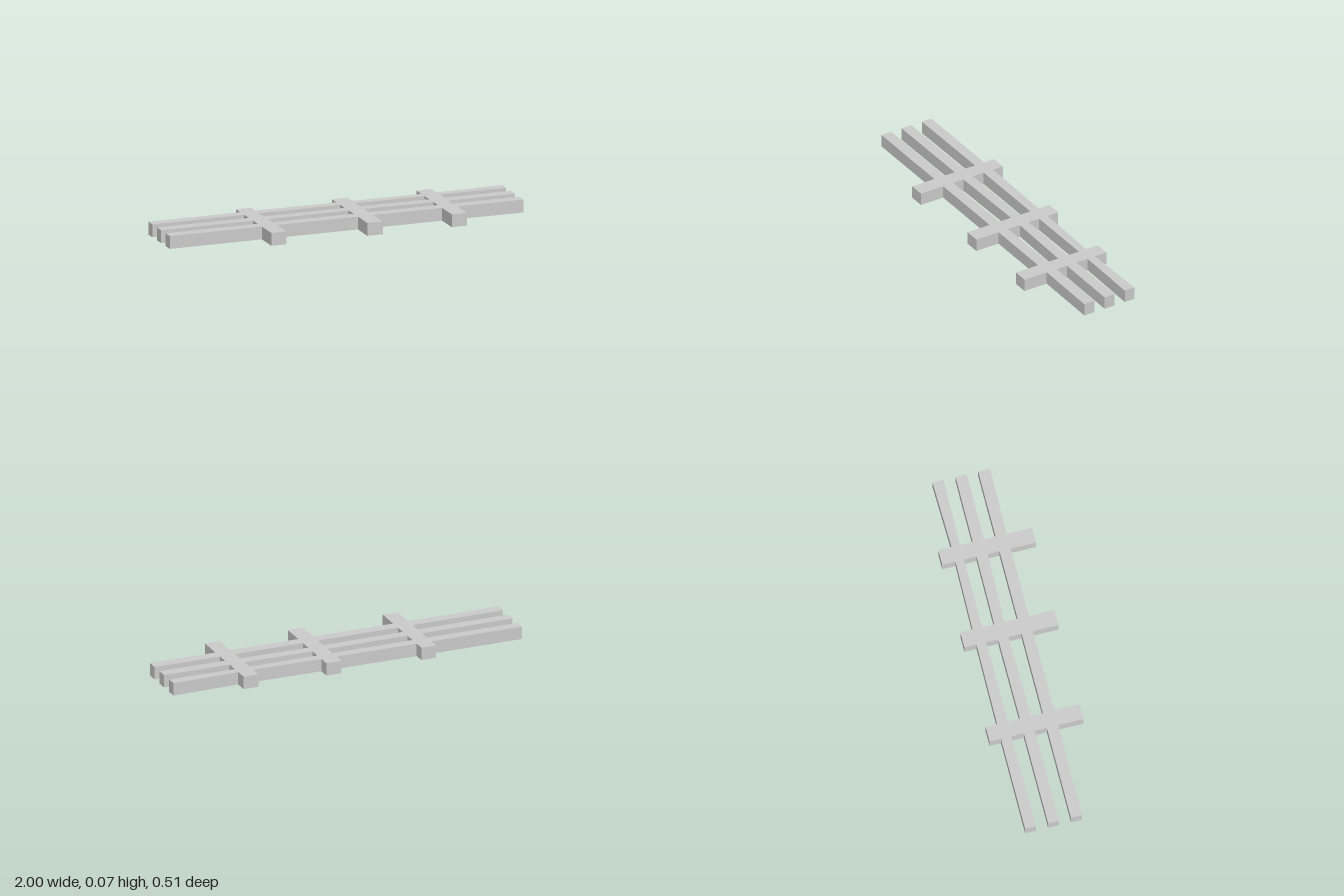
import * as THREE from 'three';

const HEIGHT = 0.07;
const BAR_END = 0.255;
// left and right edge of each cross bar
const BARS = [[-0.48, -0.395], [0.063, 0.15], [0.54, 0.625]];
// z of each rail edge at: left end, bar 1, bar 2, bar 3, right end (slightly hand-cut)
const RAILS = [
  { back: [-0.193, -0.193, -0.189, -0.183, -0.192], front: [-0.134, -0.136, -0.136, -0.137, -0.132] },
  { back: [-0.068, -0.069, -0.071, -0.068, -0.067], front: [-0.008, -0.01, -0.016, -0.008, -0.006] },
  { back: [0.056, 0.056, 0.056, 0.056, 0.056], front: [0.117, 0.117, 0.117, 0.117, 0.12] },
];

// plan points are (x, z); the shape lies in (x, -z) before it is laid flat
const toPath = (points) => points.map(([x, z]) => new THREE.Vector2(x, -z));

// long edge of the lattice, with the bar ends sticking out
function longEdge(edge, barZ) {
  const points = [];
  BARS.forEach(([x0, x1], i) => {
    const z = edge[i + 1];
    points.push([x0, z], [x0, barZ], [x1, barZ], [x1, z]);
  });
  return points;
}

// rail ends at one side, listed from front to back, with notches in to the bar
function railEnds(endX, endIndex, barX, barIndex) {
  const points = [];
  for (let r = 2; r >= 0; r--) {
    const { back, front } = RAILS[r];
    if (r < 2) points.push([barX, front[barIndex]]);
    points.push([endX, front[endIndex]], [endX, back[endIndex]]);
    if (r > 0) points.push([barX, back[barIndex]]);
  }
  return points;
}

export function createModel() {
  const group = new THREE.Group();
  group.name = 'woodenLattice';

  // outline: front edge, right ends, back edge, left ends
  const shape = new THREE.Shape(toPath([
    ...longEdge(RAILS[2].front, BAR_END),
    ...railEnds(1, 4, BARS[2][1], 3),
    ...longEdge(RAILS[0].back, -BAR_END).reverse(),
    ...railEnds(-1, 0, BARS[0][0], 1).reverse(),
  ]));

  // openings between neighbouring rails and bars
  for (let r = 0; r < 2; r++) {
    for (let b = 0; b < 2; b++) {
      const x0 = BARS[b][1], x1 = BARS[b + 1][0];
      const near = RAILS[r + 1].back, far = RAILS[r].front;
      shape.holes.push(new THREE.Path(toPath([
        [x0, far[b + 1]], [x1, far[b + 2]], [x1, near[b + 2]], [x0, near[b + 1]],
      ])));
    }
  }

  // rails and cross bars joined flush in one slab
  const geometry = new THREE.ExtrudeGeometry(shape, { depth: HEIGHT, bevelEnabled: false });
  geometry.rotateX(-Math.PI / 2);
  const lattice = new THREE.Mesh(
    geometry,
    new THREE.MeshStandardMaterial({ color: 0xcccccc, flatShading: true }),
  );
  lattice.name = 'railsAndCrossBars';
  group.add(lattice);
  return group;
}
